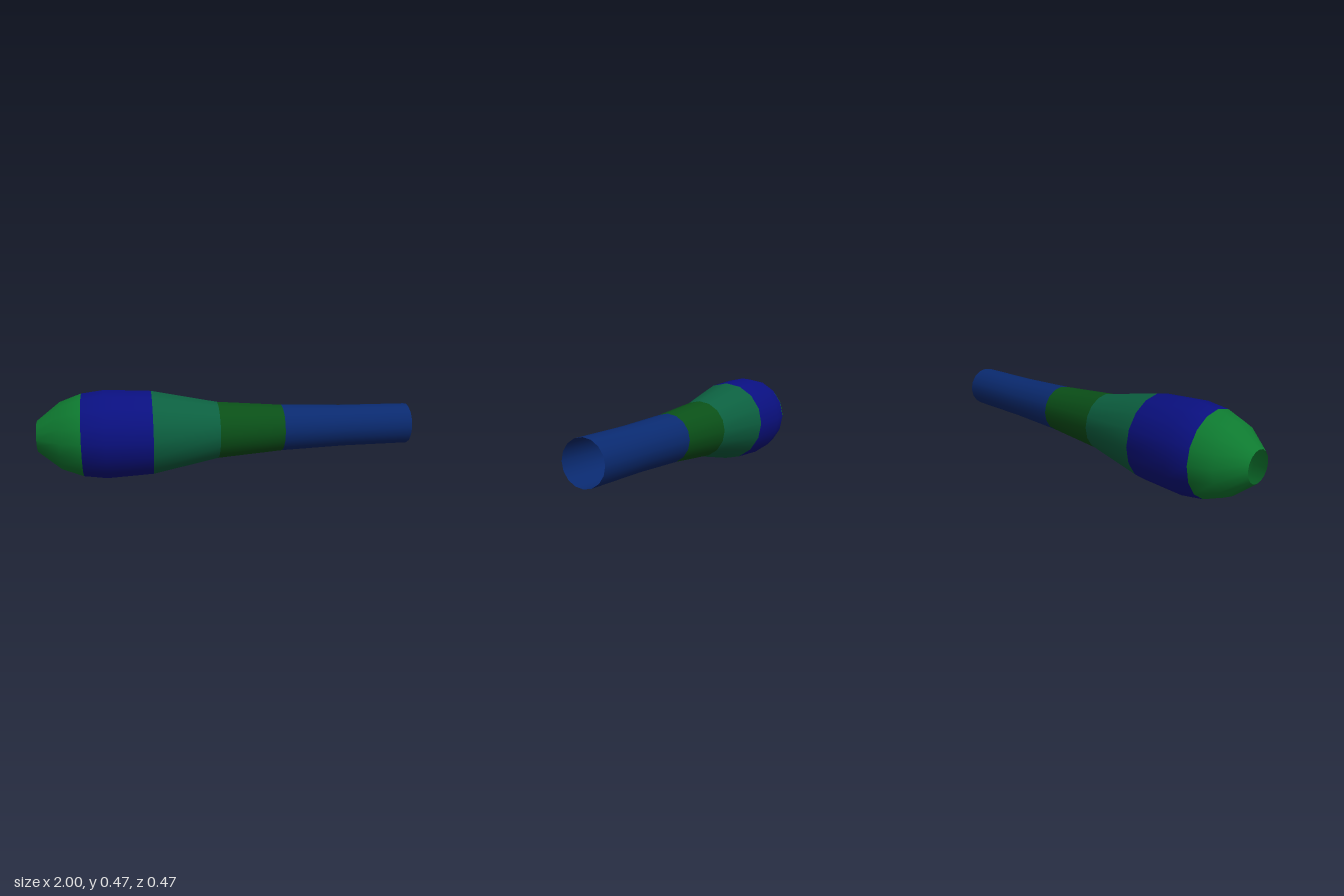
import * as THREE from 'three';

const SIDES = 16;
const AXIS_HEIGHT = 0.236;

// Profile along the axis: [x, radius], from the narrow tip to the open handle end
const PROFILE = [
  [-1, 0.082], [-0.88, 0.178], [-0.77, 0.219], [-0.65, 0.235], [-0.41, 0.223],
  [-0.06, 0.153], [0.29, 0.126], [0.63, 0.114], [1, 0.111],
];

// Coloured bands: first and last profile ring of each
const BANDS = [
  { name: 'tip', from: 0, to: 2, color: 0x0e7a30 },
  { name: 'bulb', from: 2, to: 4, color: 0x0a1080 },
  { name: 'shoulder', from: 4, to: 5, color: 0x0c6040 },
  { name: 'neck', from: 5, to: 6, color: 0x0a5018 },
  { name: 'handle', from: 6, to: 8, color: 0x0a2a70 },
];

export function createModel() {
  const model = new THREE.Group();
  model.name = 'hollowHandle';

  // One smooth open shell, turned so that its axis runs along x
  const points = PROFILE.map(([x, r]) => new THREE.Vector2(r, x));
  const shell = new THREE.LatheGeometry(points, SIDES);
  shell.rotateZ(-Math.PI / 2);
  shell.translate(0, AXIS_HEIGHT, 0);

  // Each band takes its own faces and keeps the shell's normals, so no seam shows
  const rows = PROFILE.length - 1;
  const faces = Array.from(shell.index.array);
  for (const { name, from, to, color } of BANDS) {
    const part = shell.clone();
    part.setIndex(faces.filter((_, i) => {
      const row = Math.floor(i / 6) % rows;
      return row >= from && row < to;
    }));
    const material = new THREE.MeshStandardMaterial({ color, side: THREE.DoubleSide });
    const mesh = new THREE.Mesh(part.toNonIndexed(), material);
    mesh.name = name;
    model.add(mesh);
  }
  return model;
}
